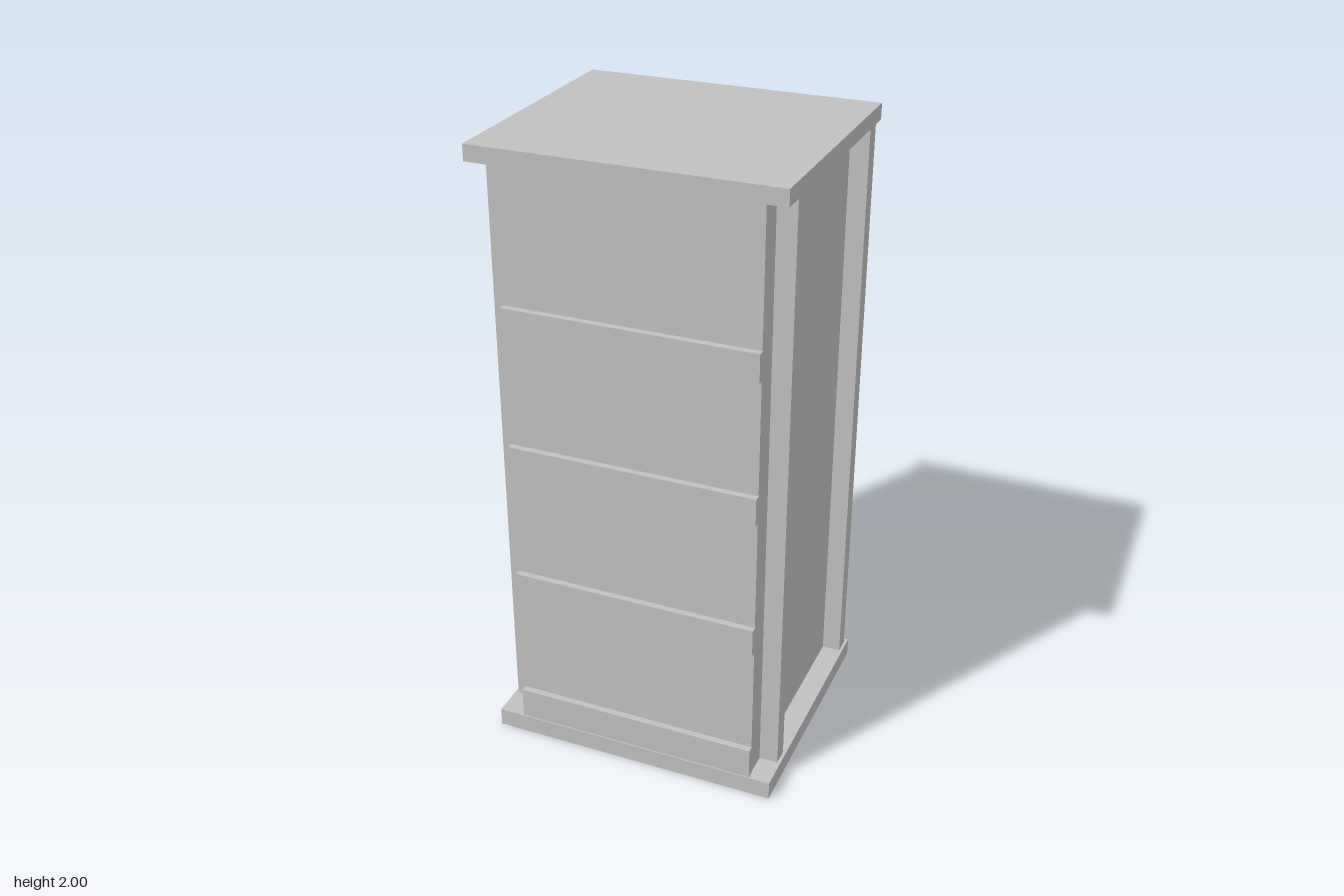
import * as THREE from 'three';

export function createModel() {
  const group = new THREE.Group();
  const grey = new THREE.MeshStandardMaterial({ color: 0xc0c0c0 });
  grey.name = 'light grey';

  // Box given by its minimum and maximum on each axis
  function box(name, x0, x1, y0, y1, z0, z1) {
    const mesh = new THREE.Mesh(new THREE.BoxGeometry(x1 - x0, y1 - y0, z1 - z0), grey);
    mesh.name = name;
    mesh.position.set((x0 + x1) / 2, (y0 + y1) / 2, (z0 + z1) / 2);
    group.add(mesh);
  }

  const bottom = 0.06, top = 1.95;

  // Overhanging base and top slabs
  box('base', -0.473, 0.473, 0, bottom, -0.41, 0.41);
  box('top', -0.473, 0.473, top, 2, -0.41, 0.41);

  // Cabinet body, with its front standing proud of the posts
  box('body', -0.4, 0.403, bottom, top, -0.34, 0.385);

  // Corner posts
  for (const [z0, z1, end] of [[0.252, 0.306, 'front'], [-0.392, -0.338, 'back']]) {
    box(end + 'LeftPost', 0.402, 0.463, bottom, top, z0, z1);
    box(end + 'RightPost', -0.463, -0.397, bottom, top, z0, z1);
  }

  // Rails across the front; the lowest rests on the base
  for (let i = 0; i < 4; i++) {
    const y = 0.073 + i * 0.454;
    box('frontRail' + (i + 1), -0.39, 0.404, i ? y : bottom, y + 0.09, 0.38, 0.406);
  }

  return group;
}
